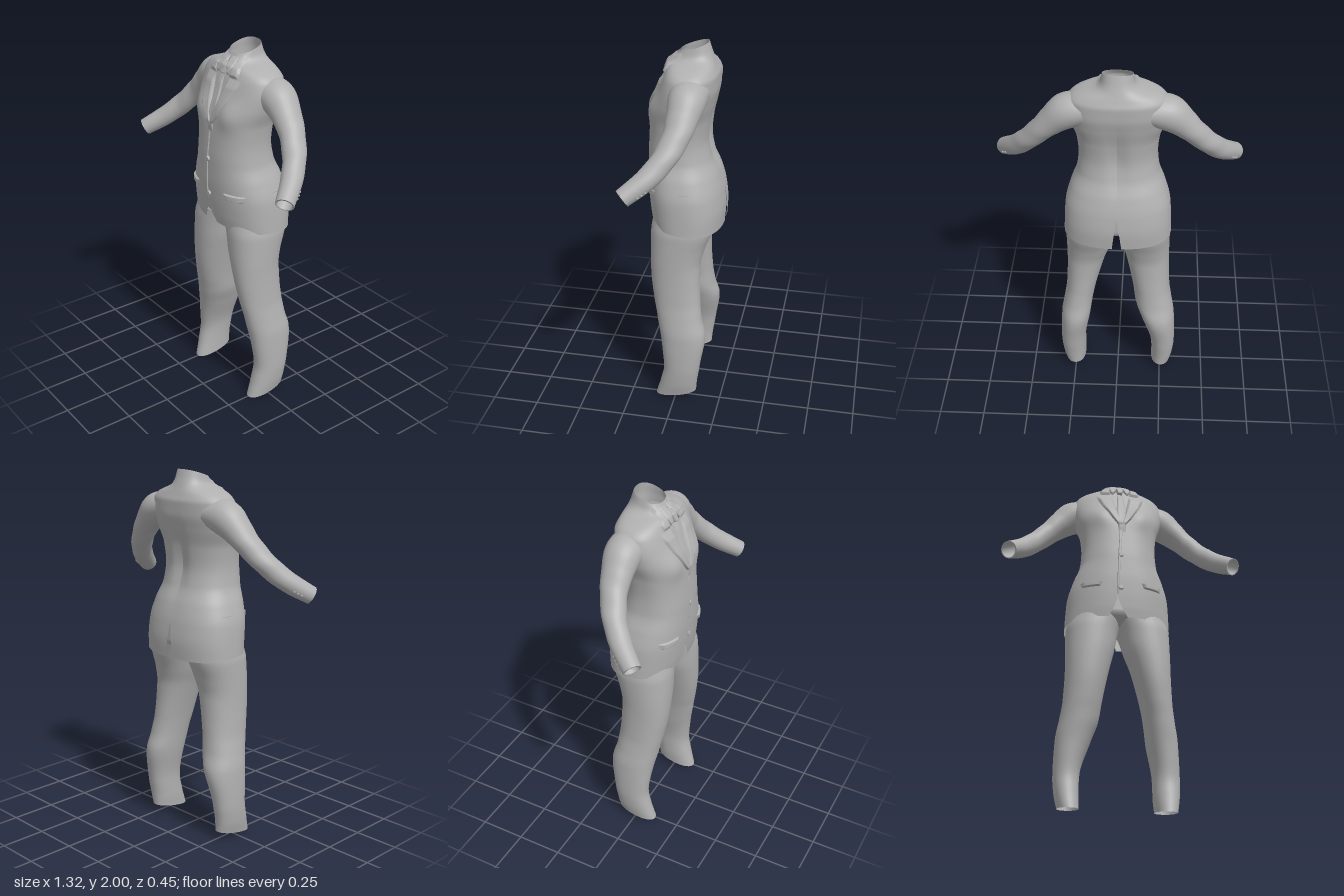
import * as THREE from 'three';
import { mergeVertices } from 'three/addons/utils/BufferGeometryUtils.js';

const N = 2.4; // squareness of the body cross-sections

// Torso sections: y, half width, front z, back z
const TORSO = [
  [1.03, .29, .16, -.225], [1.1, .287, .17, -.23], [1.2, .28, .18, -.22], [1.3, .253, .185, -.195],
  [1.4, .216, .185, -.157], [1.5, .207, .18, -.142], [1.6, .215, .172, -.15], [1.7, .245, .148, -.17],
  [1.78, .258, .12, -.183], [1.84, .25, .098, -.183], [1.87, .225, .085, -.172], [1.895, .17, .075, -.162],
  [1.915, .11, .068, -.152], [1.94, .088, .052, -.14], [1.98, .078, .025, -.125],
];
// Trouser leg sections: y, inner x (left), inner x (right), outer x, front z, back z
const LEG = [
  [.022, .195, .2, .31, .113, -.115], [.1, .19, .2, .325, .085, -.12], [.2, .19, .195, .332, .066, -.135],
  [.4, .16, .135, .325, .09, -.16], [.5, .145, .1, .308, .105, -.14], [.6, .125, .085, .293, .128, -.125],
  [.8, .07, .045, .285, .15, -.12], [.9, .035, .02, .285, .153, -.14], [1, .008, 0, .285, .152, -.175],
  [1.07, -.025, -.025, .272, .145, -.19],
];
// Front opening of the jacket: y, centre x, half width
const OPENING = [
  [1.03, -.02, .05], [1.17, -.025, .001], [1.3, -.02, .001], [1.58, -.008, .001],
  [1.74, 0, .034], [1.88, 0, .058], [1.92, 0, .055], [1.98, 0, .03],
];

// Smooth interpolation of table rows without overshoot
function sample(rows, y) {
  let i = 0;
  while (i < rows.length - 2 && y > rows[i + 1][0]) i++;
  const slope = (k, c) => (k < 0 || k > rows.length - 2) ? null
    : (rows[k + 1][c] - rows[k][c]) / (rows[k + 1][0] - rows[k][0]);
  const tangent = (k, c) => {
    const a = slope(k - 1, c), b = slope(k, c);
    if (a === null) return b;
    if (b === null) return a;
    return a * b <= 0 ? 0 : 2 * a * b / (a + b);
  };
  const h = rows[i + 1][0] - rows[i][0], t = THREE.MathUtils.clamp((y - rows[i][0]) / h, 0, 1);
  const t2 = t * t, t3 = t2 * t;
  return rows[i].map((p, c) => c === 0 ? y : (2 * t3 - 3 * t2 + 1) * p + (t3 - 2 * t2 + t) * h * tangent(i, c)
    + (3 * t2 - 2 * t3) * rows[i + 1][c] + (t3 - t2) * h * tangent(i + 1, c));
}

const power = (v, e) => Math.sign(v) * Math.abs(v) ** e;
const bell = (v, w) => Math.exp(-v * v / (w * w));

// Point on the torso; angle 0 is the middle of the front
function torso(angle, y) {
  const [, hw, zf, zb] = sample(TORSO, y);
  const c = Math.cos(angle), x = hw * power(Math.sin(angle), 2 / N);
  let z = (zf + zb) / 2 + (zf - zb) / 2 * power(c, 2 / N);
  if (c > 0) z += .022 * bell(Math.abs(x) - .12, .07) * bell(y - 1.67, .07);
  else z += .018 * bell(x, .04) * bell(y - 1.52, .16);
  return [x, y, z];
}
const angleAt = (x, y) => {
  const r = Math.min(1, Math.abs(x) / sample(TORSO, y)[1]);
  return Math.sign(x) * Math.asin(r ** (N / 2));
};
// Tilts the neckline up and the hem down towards the back
function warp([x, y, z]) {
  if (y > 1.9) y += (y - 1.9) / .08 * (-z - .06) * .32;
  if (y < 1.1) y += (1.1 - y) / .07 * .08 * z;
  return [x, y, z];
}

// Smooth surface from a rule f(u, v)
function surface(nu, nv, f) {
  const pos = [], index = [];
  for (let j = 0; j <= nv; j++) for (let i = 0; i <= nu; i++) pos.push(...f(i / nu, j / nv));
  for (let j = 0; j < nv; j++) for (let i = 0; i < nu; i++) {
    const a = j * (nu + 1) + i, b = a + nu + 1;
    index.push(a, a + 1, b, a + 1, b + 1, b);
  }
  const g = new THREE.BufferGeometry();
  g.setAttribute('position', new THREE.Float32BufferAttribute(pos, 3));
  g.setIndex(index);
  const merged = mergeVertices(g, 1e-5);
  merged.computeVertexNormals();
  return merged;
}

// Cloth piece lying on the chest; rows are y, x start, x end
function patch(rows, lift, rounded = true, side = 1) {
  const edge = t => rounded ? Math.min(1, 7 * Math.min(t, 1 - t)) : 1;
  return surface(14, 28, (u, v) => {
    const y = THREE.MathUtils.lerp(rows[0][0], rows[rows.length - 1][0], v);
    let i = 0;
    while (i < rows.length - 2 && y > rows[i + 1][0]) i++;
    const t = (y - rows[i][0]) / (rows[i + 1][0] - rows[i][0]);
    const x0 = THREE.MathUtils.lerp(rows[i][1], rows[i + 1][1], t);
    const x1 = THREE.MathUtils.lerp(rows[i][2], rows[i + 1][2], t);
    const p = torso(angleAt(side * THREE.MathUtils.lerp(x0, x1, u), y), y);
    p[2] += lift * (rounded ? edge(u) * edge(v) : 1);
    return warp(p);
  });
}

export function createModel() {
  const model = new THREE.Group();
  const cloth = new THREE.MeshStandardMaterial({ color: 0xb0b0b0 });
  cloth.name = 'grey cloth';
  cloth.side = THREE.DoubleSide;
  const add = (name, geometry) => {
    const mesh = new THREE.Mesh(geometry, cloth);
    mesh.name = name;
    model.add(mesh);
    return mesh;
  };

  // Sleeve centre line, and its radii (up-down, front-back)
  const path = new THREE.CatmullRomCurve3([
    [.17, 1.785, -.06], [.255, 1.765, -.06], [.33, 1.705, -.052], [.4, 1.632, -.035],
    [.48, 1.54, .012], [.55, 1.46, .085], [.622, 1.387, .185],
  ].map(p => new THREE.Vector3(...p)));
  const RADII = [[0, .08, .1], [1 / 6, .092, .096], [2 / 6, .074, .082], [3 / 6, .06, .07],
    [4 / 6, .056, .061], [5 / 6, .053, .056], [1, .046, .048]];
  const sleevePoint = (side, angle, t, scale = 1) => {
    const p = path.getPoint(t), d = path.getTangent(t);
    const across = new THREE.Vector3(0, 0, 1).addScaledVector(d, -d.z).normalize();
    const up = new THREE.Vector3().crossVectors(across, d).normalize();
    const [, ru, rz] = sample(RADII, t);
    const fold = scale * (1 + .025 * Math.sin(t * 34 + angle * 2) * bell(t - .62, .2));
    p.addScaledVector(across, rz * fold * Math.cos(angle)).addScaledVector(up, ru * fold * Math.sin(angle));
    return [side * p.x, p.y, p.z];
  };

  for (const side of [1, -1]) {
    const hand = side > 0 ? 'left' : 'right';

    // Jacket half, from the front opening round to the back vent
    add(hand + 'JacketPanel', surface(36, 100, (u, v) => {
      const y = 1.03 + .95 * v, [, c, w] = sample(OPENING, y);
      const vent = Math.max(0, 1.21 - y) * .14;
      const a = angleAt(side * c + w, y), b = Math.PI - angleAt(vent, y);
      return warp(torso(side * THREE.MathUtils.lerp(a, b, u), y));
    }));

    // Notched lapel and the collar leaf above it
    add(hand + 'Lapel', patch([[1.585, -.012, .004], [1.66, .012, .058], [1.74, .03, .103],
      [1.81, .044, .13], [1.845, .05, .14]], .014, true, side));
    add(hand + 'JacketCollar', patch([[1.85, .05, .112], [1.88, .055, .112], [1.91, .058, .095],
      [1.97, .05, .07]], .014, true, side));
    add(hand + 'ShirtCollar', patch([[1.855, .04, .046], [1.89, .018, .062], [1.935, .004, .06],
      [1.965, .006, .05]], .014, true, side));

    // Pocket flap
    add(hand + 'PocketFlap', patch([[1.215, .12, .215], [1.25, .105, .225]], .012, true, side));

    // Sleeve with turned-in cuff and buttons
    add(hand + 'Sleeve', surface(28, 48, (u, v) => sleevePoint(side, u * Math.PI * 2, v)));
    const turn = [[1, 1], [1, .82], [.93, .8], [.85, .8]];
    add(hand + 'CuffLining', surface(28, 3, (u, v) =>
      sleevePoint(side, u * Math.PI * 2, ...turn[Math.round(v * 3)])));
    for (let i = 0; i < 3; i++) {
      const button = add(hand + 'CuffButton', new THREE.SphereGeometry(.006, 10, 8));
      button.position.set(...sleevePoint(side, Math.PI * .95, .93 - i * .025));
    }

    // Trouser leg with a hem that dips at the front
    add(hand + 'TrouserLeg', surface(32, 60, (u, v) => {
      const y = .022 + 1.048 * v, [, inL, inR, out, zf, zb] = sample(LEG, y);
      const inner = side > 0 ? inL : inR, a = u * Math.PI * 2;
      const fold = 1 + .02 * Math.sin(y * 26 + a) * bell(y - .45, .2);
      const x = (inner + out) / 2 + (out - inner) / 2 * power(Math.cos(a), 2 / 2.2);
      const z = (zf + zb) / 2 + (zf - zb) / 2 * fold * power(Math.sin(a), 2 / 2.2);
      return [side * x, y - .19 * z * Math.max(0, 1 - (y - .022) / .08), z];
    }));
  }

  // Trouser seat under the jacket, closed at the crotch
  add('trouserSeat', surface(40, 14, (u, v) => {
    const a = u * Math.PI * 2, s = Math.min(1, Math.sqrt(v * 4));
    return [.268 * s * power(Math.sin(a), 2 / N), 1.015 + .24 * v,
      -.025 + .165 * s * power(Math.cos(a), 2 / N)];
  }));

  // Shirt front and neckband inside the collar
  add('shirtFront', patch([[1.54, -.03, .03], [1.74, -.065, .065], [1.88, -.08, .08], [1.93, -.07, .07]], -.012, false));
  add('neckband', surface(40, 6, (u, v) => {
    const y = 1.89 + .09 * v, [x, , z] = torso(u * Math.PI * 2, Math.max(y, 1.94));
    const s = .9 + .1 * v ** 3;
    return warp([x * s, y, -.045 + (z + .045) * s]);
  }));

  // Tie blade and knot
  add('tieBlade', patch([[1.56, -.02, .02], [1.7, -.028, .028], [1.86, -.015, .015]], .008));
  add('tieKnot', patch([[1.855, -.013, .013], [1.9, -.024, .024], [1.925, -.022, .022]], .018));

  // Overlapping front edge and its two buttons
  add('frontEdge', patch([[1.17, -.03, -.018], [1.4, -.024, -.01], [1.59, -.012, .004]], .006));
  for (const y of [1.21, 1.41]) {
    const button = add('jacketButton', new THREE.CylinderGeometry(.012, .015, .012, 20));
    button.rotation.x = Math.PI / 2;
    button.position.set(-.008, y, torso(0, y)[2] + .004);
  }
  return model;
}
